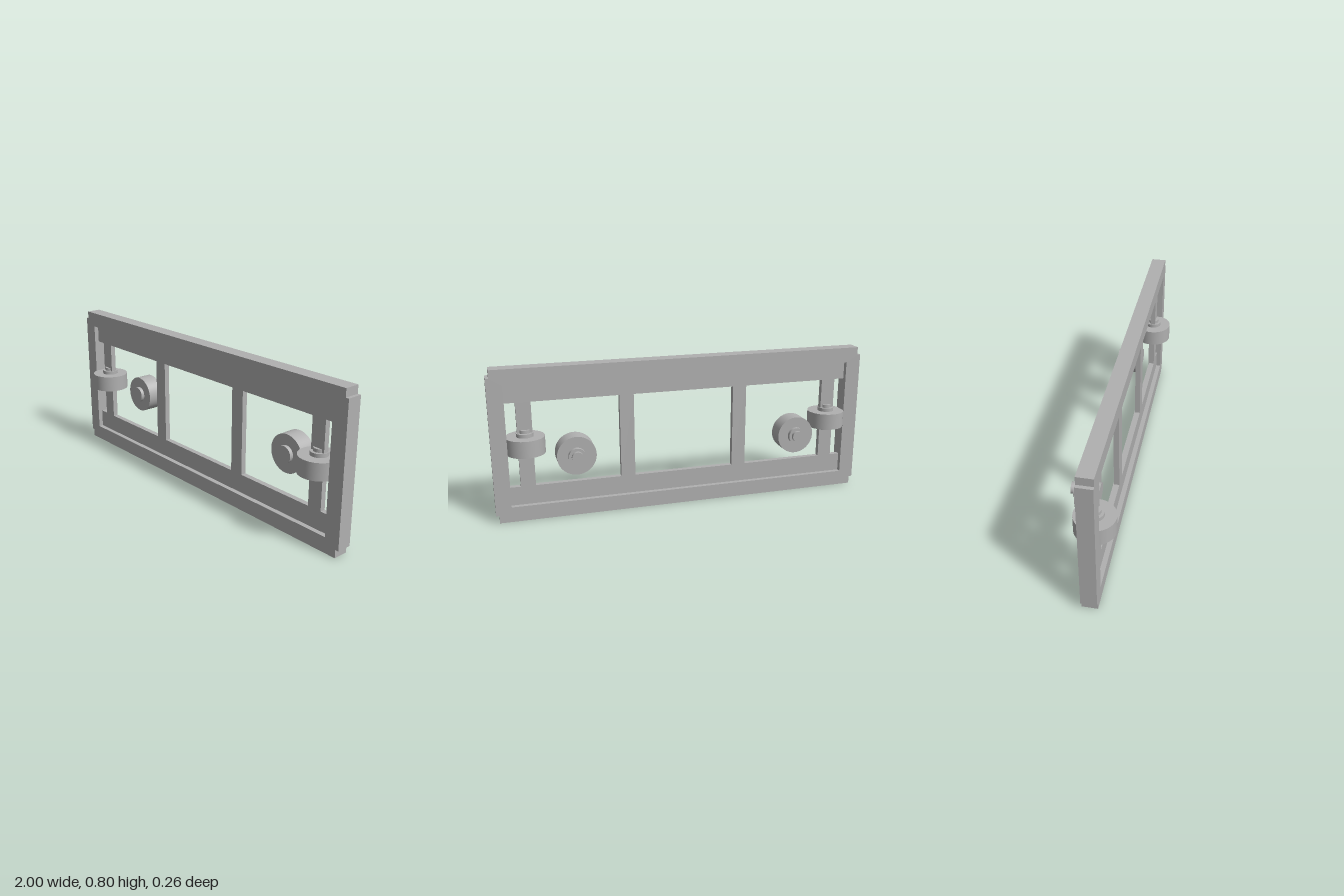
import * as THREE from 'three';

const MID_Z = 0.034; // middle plane of the frame
const gray = new THREE.MeshStandardMaterial({ color: 0xb0b0b0 });
gray.name = 'plain gray';

function addBox(parent, name, x0, x1, y0, y1, depth) {
  const mesh = new THREE.Mesh(new THREE.BoxGeometry(x1 - x0, y1 - y0, depth), gray);
  mesh.name = name;
  mesh.position.set((x0 + x1) / 2, (y0 + y1) / 2, MID_Z);
  parent.add(mesh);
}

// Wheel along +y: tyre, hub showing on both sides, small axle cap on top
function makeWheel(name) {
  const wheel = new THREE.Group();
  wheel.name = name;
  const parts = [
    ['tyre', 0.099, -0.0435, 0.0435],
    ['hub', 0.0435, -0.0625, 0.0625],
    ['axleCap', 0.029, 0.0625, 0.079],
  ];
  for (const [part, radius, y0, y1] of parts) {
    const mesh = new THREE.Mesh(new THREE.CylinderGeometry(radius, radius, y1 - y0, 64), gray);
    mesh.name = part;
    mesh.position.y = (y0 + y1) / 2;
    wheel.add(mesh);
  }
  return wheel;
}

export function createModel() {
  const model = new THREE.Group();
  model.name = 'wheeledFrame';

  // Outer frame with stepped corners
  const H = 0.796, W = 1, w = 0.983, step = 0.041, depth = 0.078;
  const outline = new THREE.Shape([
    [-w, 0], [w, 0], [w, step], [W, step], [W, H - step], [w, H - step],
    [w, H], [-w, H], [-w, H - step], [-W, H - step], [-W, step], [-w, step],
  ].map(([x, y]) => new THREE.Vector2(x, y)));
  outline.holes.push(new THREE.Path([
    [-0.92, 0.08], [-0.92, 0.716], [0.92, 0.716], [0.92, 0.08],
  ].map(([x, y]) => new THREE.Vector2(x, y))));
  const frame = new THREE.Mesh(
    new THREE.ExtrudeGeometry(outline, { depth, bevelEnabled: false }), gray);
  frame.name = 'outerFrame';
  frame.position.z = MID_Z - depth / 2;
  model.add(frame);

  // Thin recessed inner rails
  const thin = 0.028;
  addBox(model, 'lowerRail', -0.92, 0.92, 0.08, 0.178, thin);
  addBox(model, 'upperRail', -0.92, 0.92, 0.62, 0.716, thin);

  for (const side of [-1, 1]) {
    const label = side > 0 ? 'left' : 'right';
    // Inner posts
    for (const [name, a, b] of [['InnerPost', 0.27, 0.345], ['OuterPost', 0.79, 0.866]]) {
      addBox(model, label + name, Math.min(side * a, side * b), Math.max(side * a, side * b), 0.178, 0.62, thin);
    }
    // Horizontal wheel threaded on the outer post
    const postWheel = makeWheel(label + 'PostWheel');
    postWheel.position.set(side * 0.828, 0.398, MID_Z);
    model.add(postWheel);
    // Wheel behind the frame, axle cap facing back
    const backWheel = makeWheel(label + 'BackWheel');
    backWheel.rotation.x = -Math.PI / 2;
    backWheel.position.set(side * 0.59, 0.356, -0.053);
    model.add(backWheel);
  }
  return model;
}
